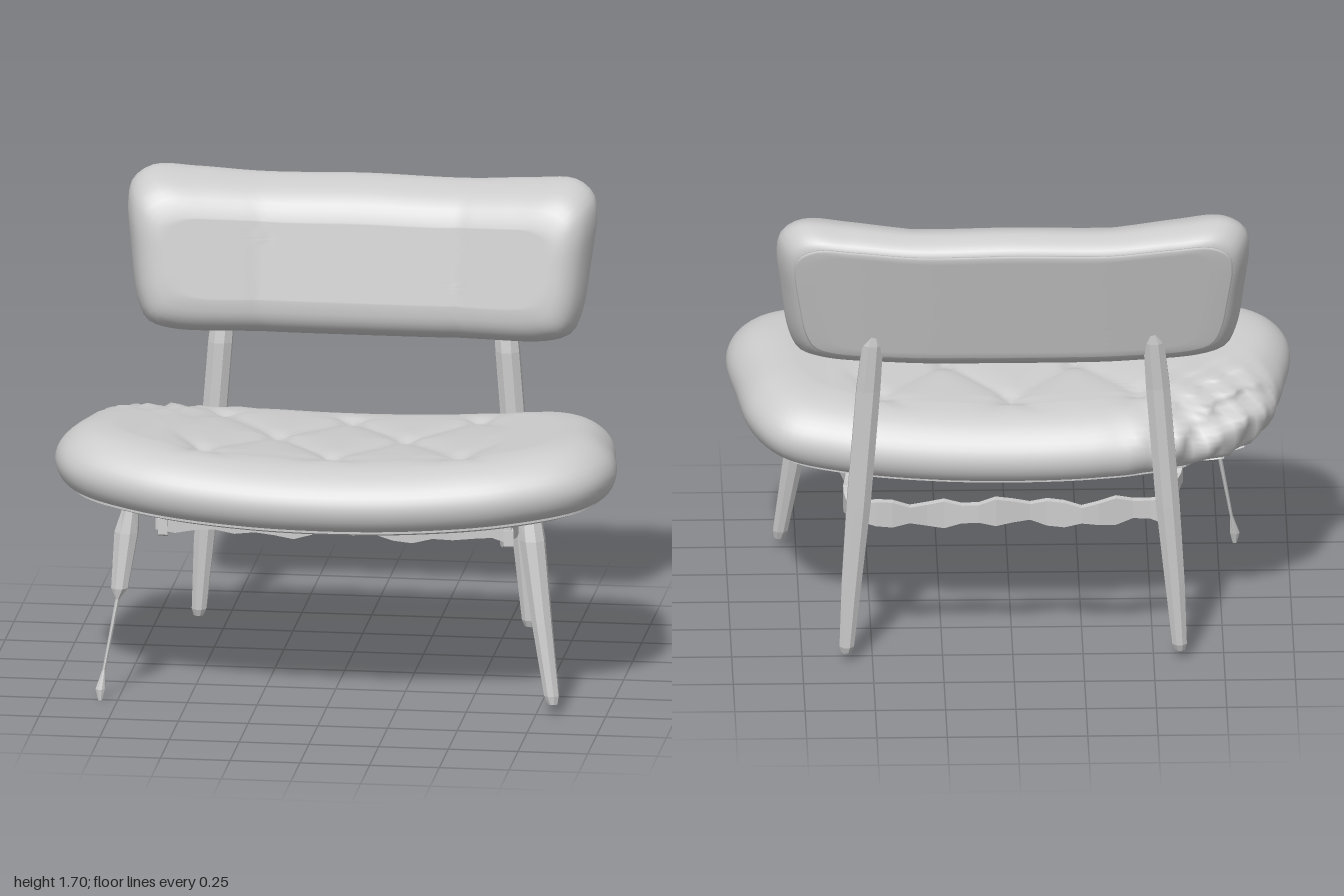
import * as THREE from 'three';

const smooth = new THREE.MeshStandardMaterial({ color: 0xcccccc, side: THREE.DoubleSide });
const faceted = new THREE.MeshStandardMaterial({ color: 0xcccccc, side: THREE.DoubleSide, flatShading: true });

// Mirrors a half outline (listed from one end of the axis to the other) and samples it evenly.
function mirroredOutline(half, count) {
  const other = half.slice(1, -1).reverse().map(([a, b]) => [-a, b]);
  const pts = [...half, ...other].map(([a, b]) => new THREE.Vector3(a, b, 0));
  return new THREE.CatmullRomCurve3(pts, true, 'centripetal').getSpacedPoints(count).slice(0, count);
}

// Closed padded form: inner rings, a rounded rim of [inset, height], inner rings again.
function padded(outline, center, halfSize, rim, inner, place) {
  const curve = new THREE.SplineCurve(rim.map(([d, h]) => new THREE.Vector2(d, h)));
  const edge = rim.length > 3 ? curve.getPoints(20) : rim.map(([d, h]) => new THREE.Vector2(d, h));
  const rings = [];
  for (let i = 0; i < inner; i++) rings.push([i / inner, edge[0].x, edge[0].y]);
  edge.forEach(e => rings.push([1, e.x, e.y]));
  const last = edge[edge.length - 1];
  for (let i = 9; i >= 0; i--) rings.push([i / 10, last.x, last.y]);

  const n = outline.length, position = [], index = [];
  rings.forEach(([k, d, h], i) => {
    outline.forEach((p, j) => {
      const a = center[0] + (p.x - center[0]) * k * (1 - d / halfSize[0]);
      const b = center[1] + (p.y - center[1]) * k * (1 - d / halfSize[1]);
      position.push(...place(a, b, h));
      if (i < rings.length - 1) {
        const j2 = (j + 1) % n, u = i * n, v = u + n;
        index.push(u + j, v + j, v + j2, u + j, v + j2, u + j2);
      }
    });
  });
  return makeGeometry(position, index);
}

function makeGeometry(position, index) {
  const g = new THREE.BufferGeometry();
  g.setAttribute('position', new THREE.Float32BufferAttribute(position, 3));
  g.setIndex(index);
  g.computeVertexNormals();
  return g;
}

// Eight-sided leg through horizontal sections [x, y, z, radiusX, radiusZ], top to bottom.
function legGeometry(sections) {
  const n = 8, position = [], index = [];
  const first = sections[0], last = sections[sections.length - 1];
  const all = [[...first.slice(0, 3), 0, 0], ...sections, [...last.slice(0, 3), 0, 0]];
  all.forEach(([x, y, z, rx, rz], i) => {
    for (let j = 0; j < n; j++) {
      const t = (j + 0.5) / n * Math.PI * 2;
      position.push(x + Math.sin(t) * rx, y, z + Math.cos(t) * rz);
      if (i < all.length - 1) {
        const u = i * n, v = u + n, j2 = (j + 1) % n;
        index.push(u + j, v + j, v + j2, u + j, v + j2, u + j2);
      }
    }
  });
  return makeGeometry(position, index);
}

// Uneven, wavy rail between two points.
function railMesh(from, to, height, thickness) {
  const a = new THREE.Vector3(...from), b = new THREE.Vector3(...to);
  const geometry = new THREE.BoxGeometry(thickness, height, a.distanceTo(b), 1, 1, 18);
  const pos = geometry.attributes.position;
  for (let i = 0; i < pos.count; i++) {
    const y = pos.getY(i), z = pos.getZ(i);
    pos.setX(i, pos.getX(i) + 0.012 * Math.sin(z * 17));
    pos.setY(i, y * (0.9 + 0.25 * Math.sin(z * 31)) + 0.008 * Math.sin(z * 13 + 1));
  }
  const mesh = new THREE.Mesh(geometry, faceted);
  mesh.position.copy(a).add(b).multiplyScalar(0.5);
  mesh.lookAt(b);
  return mesh;
}

// Depth of the diamond tufting: soft diagonal valleys with a deeper pit at each crossing.
function tuft(x, z) {
  const toLine = v => Math.abs(v - Math.round(v));
  const p = toLine(x / 0.46 + (z + 0.2) / 0.58), q = toLine(x / 0.46 - (z + 0.2) / 0.58);
  const fade = (v, limit) => 1 - THREE.MathUtils.smoothstep(v, limit, limit + 0.14);
  const area = fade(Math.abs(x), 0.48) * fade(Math.abs(z - 0.09), 0.3);
  const valley = Math.max(Math.exp(-p * 7), Math.exp(-q * 7));
  return area * (0.018 * valley + 0.016 * Math.exp(-(p * p + q * q) * 70));
}

// Crumpled inward dent at the right rear corner of the seat.
function dent(x, y, z) {
  const w = Math.exp(-(((x + 0.76) / 0.24) ** 2) - (((z + 0.32) / 0.22) ** 2));
  const wrinkle = 1 + 0.6 * Math.sin(x * 43 + y * 19) * Math.cos(z * 37);
  return [x + 0.03 * w * wrinkle, y - 0.015 * w * wrinkle, z + 0.06 * w * wrinkle];
}

export function createModel() {
  const group = new THREE.Group();
  const add = (name, geometry, material) => {
    const mesh = new THREE.Mesh(geometry, material);
    mesh.name = name;
    group.add(mesh);
  };

  // Seat cushion, dished across its width
  const seatOutline = mirroredOutline([[0, 0.685], [0.35, 0.67], [0.68, 0.61], [0.92, 0.48], [1, 0.3],
    [0.975, 0.02], [0.93, -0.22], [0.83, -0.37], [0.6, -0.435], [0.3, -0.46], [0, -0.465]], 144);
  const seatTop = (x, z) => 0.884 + 0.092 * x * x + 0.045 * z;
  const seatBottom = (x, z) => 0.645 + 0.075 * x * x + 0.05 * z;
  const seatRim = [[0.2, 1], [0.13, 0.95], [0.07, 0.83], [0.02, 0.62], [0, 0.4], [0.01, 0.2], [0.04, 0.06], [0.09, 0]];
  add('seatCushion', padded(seatOutline, [0, 0.11], [1, 0.575], seatRim, 40, (x, z, h) => dent(
    x, THREE.MathUtils.lerp(seatBottom(x, z), seatTop(x, z), h) - (h > 0.9 ? tuft(x, z) : 0), z)), smooth);
  add('seatBoard', padded(seatOutline, [0, 0.11], [1, 0.575], [[0.06, 1], [0.06, 0.5], [0.1, 0]], 4,
    (x, z, h) => dent(x, seatBottom(x, z) - 0.014 + 0.026 * h, z)), faceted);

  // Backrest in three sections, its side sections turned forward
  const backOutline = mirroredOutline([[0, 1.115], [0.4, 1.118], [0.68, 1.13], [0.76, 1.16], [0.795, 1.23],
    [0.825, 1.42], [0.84, 1.58], [0.825, 1.645], [0.76, 1.69], [0.6, 1.685], [0.36, 1.667], [0, 1.672]], 144);
  const turn = x => {
    const m = Math.abs(x) - 0.35;
    return 0.5 * (m + Math.sqrt(m * m + 0.003));
  };
  const backZ = (x, y, h) => -0.635 + 0.26 * h + turn(x) * (0.1 + 0.09 * h) - (y - 1.4) * (0.26 - 0.06 * h);
  const seam = x => 0.004 * Math.exp(-(((Math.abs(x) - 0.355) / 0.025) ** 2));
  const backRim = [[0.14, 1], [0.08, 0.94], [0.03, 0.77], [0, 0.45], [0.012, 0.25], [0.035, 0.1], [0.06, 0.03], [0.09, 0]];
  add('backCushion', padded(backOutline, [0, 1.4], [0.83, 0.285], backRim, 24, (x, y, h) => [
    x, y, backZ(x, y, h) - (h > 0.5 ? seam(x) : 0)]), smooth);
  add('backPanel', padded(backOutline, [0, 1.4], [0.83, 0.285], [[0.06, 1], [0.06, 0.3], [0.066, 0]], 4,
    (x, y, h) => [x, y, backZ(x, y, 0) - 0.005 + 0.02 * h]), smooth);

  // Rear legs rising behind the backrest
  for (const s of [1, -1]) {
    add(s > 0 ? 'leftRearLeg' : 'rightRearLeg', legGeometry([
      [s * 0.495, 1.275, -0.575, 0.018, 0.015], [s * 0.5, 1.23, -0.56, 0.04, 0.035],
      [s * 0.515, 1.05, -0.542, 0.046, 0.043], [s * 0.55, 0.6, -0.54, 0.046, 0.042],
      [s * 0.575, 0.3, -0.545, 0.038, 0.034], [s * 0.592, 0.06, -0.547, 0.028, 0.027],
      [s * 0.594, 0.035, -0.547, 0.018, 0.017]]), faceted);
  }

  // Front legs: the left one whole, the right one worn to a splinter
  add('leftFrontLeg', legGeometry([
    [0.715, 0.69, 0.395, 0.045, 0.04], [0.725, 0.62, 0.405, 0.048, 0.048], [0.765, 0.33, 0.45, 0.038, 0.038],
    [0.805, 0.07, 0.49, 0.028, 0.026], [0.81, 0.04, 0.495, 0.018, 0.018]]), faceted);
  add('rightFrontLeg', legGeometry([
    [-0.715, 0.69, 0.395, 0.03, 0.04], [-0.73, 0.6, 0.405, 0.045, 0.045], [-0.75, 0.4, 0.44, 0.032, 0.03],
    [-0.757, 0.36, 0.447, 0.008, 0.015], [-0.8, 0.11, 0.485, 0.006, 0.012],
    [-0.812, 0.04, 0.5, 0.018, 0.015], [-0.812, 0.0, 0.505, 0.008, 0.008]]), faceted);

  // Rails under the seat
  const rails = new THREE.Group();
  rails.name = 'seatRails';
  rails.add(railMesh([-0.64, 0.61, 0.3], [0.64, 0.61, 0.3], 0.065, 0.03));
  rails.add(railMesh([-0.55, 0.55, -0.5], [0.55, 0.55, -0.5], 0.09, 0.03));
  for (const s of [1, -1]) rails.add(railMesh([s * 0.62, 0.59, 0.33], [s * 0.56, 0.545, -0.52], 0.075, 0.035));
  group.add(rails);

  return group;
}
